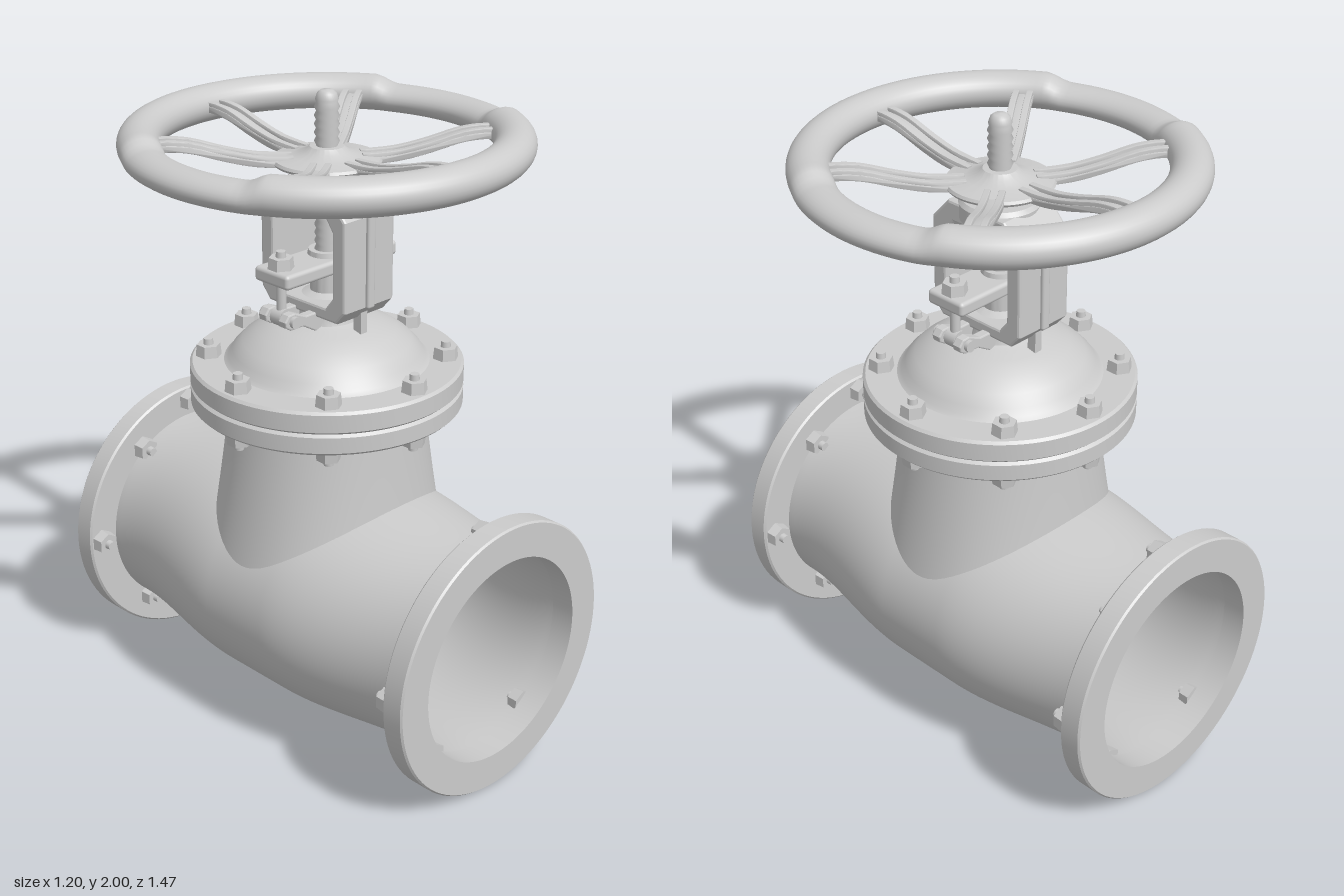
import * as THREE from 'three';
import { toCreasedNormals } from 'three/addons/utils/BufferGeometryUtils.js';
import { ParametricGeometry } from 'three/addons/geometries/ParametricGeometry.js';
import { RoundedBoxGeometry } from 'three/addons/geometries/RoundedBoxGeometry.js';

const smooth = new THREE.MeshStandardMaterial({ color: 0xcccccc });
const flat = new THREE.MeshStandardMaterial({ color: 0xcccccc, flatShading: true });
const shell = new THREE.MeshStandardMaterial({ color: 0xcccccc, side: THREE.DoubleSide });
const AXIS_Y = 0.435; // height of the pipe axis
const step = THREE.MathUtils.smoothstep;

function add(parent, name, geometry, x = 0, y = 0, z = 0, material = smooth) {
  const mesh = new THREE.Mesh(geometry, material);
  mesh.name = name;
  mesh.position.set(x, y, z);
  parent.add(mesh);
  return mesh;
}

const lathe = (pts, n = 72) =>
  toCreasedNormals(new THREE.LatheGeometry(pts.map(p => new THREE.Vector2(...p)), n), 0.6);

const polygon = pts => new THREE.Shape(pts.map(p => new THREE.Vector2(...p)));

// Outline given for one half, mirrored across the vertical axis
const mirrored = pts => [...pts, ...pts.slice().reverse().map(([x, y]) => [-x, y])];

// Extrusion centred on its depth
function slab(shape, depth, bevel = 0) {
  return new THREE.ExtrudeGeometry(shape, {
    depth: depth - 2 * bevel, bevelEnabled: bevel > 0, bevelSize: bevel, bevelThickness: bevel,
    bevelOffset: -bevel, bevelSegments: 2, curveSegments: 16,
  }).translate(0, 0, -depth / 2 + bevel);
}

// Hex nut with a stud tip, pointing up or down
function addBolt(parent, x, y, z, down = false) {
  const bolt = new THREE.Group();
  bolt.name = 'bolt';
  add(bolt, 'nut', new THREE.CylinderGeometry(0.036, 0.04, 0.036, 6), 0, 0.018, 0, flat);
  add(bolt, 'studTip', new THREE.CylinderGeometry(0.014, 0.018, 0.054, 16), 0, 0.027, 0);
  bolt.position.set(x, y, z);
  if (down) bolt.rotation.x = Math.PI;
  parent.add(bolt);
}

// Eight bolt positions: four on the axes, four on the diagonals
function boltPattern(r, dx, dz) {
  const out = [[r, 0], [-r, 0], [0, r], [0, -r]];
  for (const sx of [-1, 1]) for (const sz of [-1, 1]) out.push([sx * dx, sz * dz]);
  return out;
}

// Body half-width and half-height along z
const swell = z => 1 - step(Math.abs(z), 0.12, 0.64);
const halfW = z => 0.33 + 0.077 * swell(z);
const halfH = z => 0.333 + 0.034 * swell(z);
const NECK_X = 0.365, NECK_Z = 0.32;

function buildBody(g) {
  const body = new ParametricGeometry((u, v, p) => {
    const t = u * Math.PI * 2, z = -0.67 + 1.34 * v;
    p.set(halfW(z) * Math.cos(t), AXIS_Y + halfH(z) * Math.sin(t), z);
  }, 128, 80);
  // Open the top of the body beneath the neck
  const pos = body.attributes.position, idx = body.index.array, kept = [];
  const inside = i => pos.getY(i) > AXIS_Y &&
    Math.hypot(pos.getX(i) / NECK_X, pos.getZ(i) / NECK_Z) < 0.98;
  for (let i = 0; i < idx.length; i += 3) {
    const tri = [idx[i], idx[i + 1], idx[i + 2]];
    if (!tri.every(inside)) kept.push(...tri);
  }
  body.setIndex(kept);
  add(g, 'pipeBody', body, 0, 0, 0, shell);

  // Neck sweeping from the bonnet flange down onto the body
  add(g, 'neck', new ParametricGeometry((u, v, p) => {
    const t = u * Math.PI * 2, c = Math.cos(t), s = Math.sin(t);
    const bx = NECK_X * c, bz = NECK_Z * s;
    const by = AXIS_Y + halfH(bz) * Math.sqrt(1 - (bx / halfW(bz)) ** 2) - 0.004;
    const k = v * (0.85 + 0.15 * v);
    p.set(c * (0.29 + (NECK_X - 0.29) * k), 1.05 + (by - 1.05) * v, s * (0.303 + (NECK_Z - 0.303) * k));
  }, 96, 16), 0, 0, 0, shell);

  // Pipe end flanges with bolts on their inner faces
  for (const side of [1, -1]) {
    const end = new THREE.Group();
    end.name = side > 0 ? 'frontFlange' : 'backFlange';
    add(end, 'flangeRing', lathe([[0.323, 0.66], [0.427, 0.66], [0.433, 0.666], [0.433, 0.729],
      [0.428, 0.735], [0.323, 0.735], [0.323, 0.66]], 96));
    for (const [x, z] of boltPattern(0.388, 0.2, 0.277)) addBolt(end, x, 0.66, z, true);
    end.position.y = AXIS_Y;
    end.rotation.x = side * Math.PI / 2;
    g.add(end);
  }
}

function buildBonnet(g) {
  // Double flange, dome and packing hub in one turned piece
  add(g, 'bonnet', lathe([[0, 1.045], [0.405, 1.045], [0.413, 1.053], [0.413, 1.102], [0.404, 1.11],
    [0.413, 1.118], [0.413, 1.172], [0.405, 1.18], [0.31, 1.18], [0.297, 1.19], [0.285, 1.212],
    [0.255, 1.243], [0.21, 1.275], [0.16, 1.298], [0.12, 1.307], [0.1, 1.315], [0.092, 1.34], [0.092, 1.375], [0, 1.375]], 96));
  for (const [x, z] of boltPattern(0.36, 0.247, 0.258)) {
    addBolt(g, x, 1.18, z);
    addBolt(g, x, 1.045, z, true);
  }
}

function buildYoke(g) {
  // Open frame seen from the side, with an octagonal window
  const frame = polygon(mirrored([[0.14, 1.35], [0.175, 1.39], [0.175, 1.665], [0.11, 1.735]]));
  frame.holes.push(polygon(mirrored([[0.095, 1.39], [0.123, 1.425], [0.123, 1.625], [0.09, 1.67]])));
  add(g, 'yokeFrame', slab(frame, 0.204, 0.008).rotateY(Math.PI / 2));
  add(g, 'yokeCollar', lathe([[0, 1.675], [0.108, 1.675], [0.12, 1.69], [0.12, 1.735], [0.11, 1.747], [0, 1.747]]));
  for (const s of [-1, 1]) {
    add(g, 'yokeRib', new RoundedBoxGeometry(0.03, 0.29, 0.03, 2, 0.008), 0, 1.53, s * 0.172);
    add(g, 'yokeLeg', new THREE.BoxGeometry(0.026, 0.13, 0.03), 0, 1.335, s * 0.14);
  }
}

function buildGland(g) {
  // Forked lugs carrying the swing bolts
  const lug = polygon(mirrored([[0.09, 1.30], [0.15, 1.335], [0.2, 1.335], [0.22, 1.347], [0.224, 1.365],
    [0.21, 1.383], [0.185, 1.385], [0.14, 1.365], [0.08, 1.365]]));
  for (const s of [-1, 1]) {
    add(g, 'lugPlate', slab(lug, 0.032, 0.004), 0, 0, s * 0.042);
    add(g, 'lugPin', new THREE.CylinderGeometry(0.018, 0.018, 0.14, 16).rotateX(Math.PI / 2), s * 0.19, 1.36, 0);
    add(g, 'swingBoltEye', new THREE.CylinderGeometry(0.028, 0.028, 0.04, 20).rotateX(Math.PI / 2), s * 0.185, 1.36, 0);
    add(g, 'swingBolt', new THREE.CylinderGeometry(0.015, 0.015, 0.13, 16), s * 0.185, 1.42, 0);
    addBolt(g, s * 0.185, 1.508, 0);
  }
  add(g, 'glandPlate', new RoundedBoxGeometry(0.455, 0.045, 0.14, 3, 0.012), 0, 1.488, 0);
  add(g, 'glandFollower', lathe([[0.075, 1.37], [0.075, 1.39], [0.05, 1.4], [0.05, 1.5], [0.06, 1.5], [0.055, 1.525], [0, 1.525]], 40));
}

function buildStem(g) {
  // Threaded rod with a rounded tip
  const pts = [[0, 1.38], [0.035, 1.38]];
  for (let y = 1.5, i = 0; y < 1.965; y += 0.0125, i++) pts.push([i % 2 ? 0.031 : 0.037, y]);
  pts.push([0.034, 1.972], [0.028, 1.99], [0.018, 1.998], [0, 2]);
  add(g, 'stem', new THREE.LatheGeometry(pts.map(p => new THREE.Vector2(...p)), 32));
}

// Curved spoke bar following the dished wheel
function spokeBar(width, under, over) {
  const path = new THREE.SplineCurve([[0.1, 1.797], [0.2, 1.803], [0.29, 1.822], [0.38, 1.848], [0.44, 1.857], [0.5, 1.857]]
    .map(p => new THREE.Vector2(...p))).getPoints(20);
  const low = path.map(p => [p.x, p.y - under]), high = path.map(p => [p.x, p.y + over]).reverse();
  return toCreasedNormals(slab(polygon([...low, ...high]), width, 0.003), 0.6);
}

function buildWheel(g) {
  const wheel = new THREE.Group();
  wheel.name = 'handWheel';
  g.add(wheel);
  // Rim with a lowered grip at each side
  add(wheel, 'rim', new ParametricGeometry((u, v, p) => {
    const a = u * Math.PI * 2, t = v * Math.PI * 2;
    const h = 0.055 - 0.0125 * step(Math.abs(Math.cos(t)), 0.87, 0.93);
    const r = 0.5375 + 0.0625 * Math.cos(a);
    p.set(r * Math.cos(t), 1.8 + h + h * Math.sin(a), r * Math.sin(t));
  }, 28, 160));
  add(wheel, 'wheelHub', lathe([[0, 1.745], [0.07, 1.745], [0.072, 1.772], [0.1, 1.782], [0.155, 1.786], [0.16, 1.794],
    [0.155, 1.802], [0.1, 1.81], [0.065, 1.822], [0.05, 1.836], [0, 1.838]]));
  // Six grooved spokes: a web between two rails
  const web = spokeBar(0.066, 0.015, 0.005);
  const rail = spokeBar(0.02, 0.01, 0.017);
  for (const deg of [36, 90, 144, 216, 270, 324]) {
    const spoke = new THREE.Group();
    spoke.name = 'spoke';
    add(spoke, 'spokeWeb', web);
    for (const s of [-1, 1]) add(spoke, 'spokeRail', rail, 0, 0, s * 0.021);
    spoke.rotation.y = deg * Math.PI / 180;
    wheel.add(spoke);
  }
}

export function createModel() {
  const g = new THREE.Group();
  g.name = 'gateValve';
  for (const build of [buildBody, buildBonnet, buildYoke, buildGland, buildStem, buildWheel]) build(g);
  return g;
}
